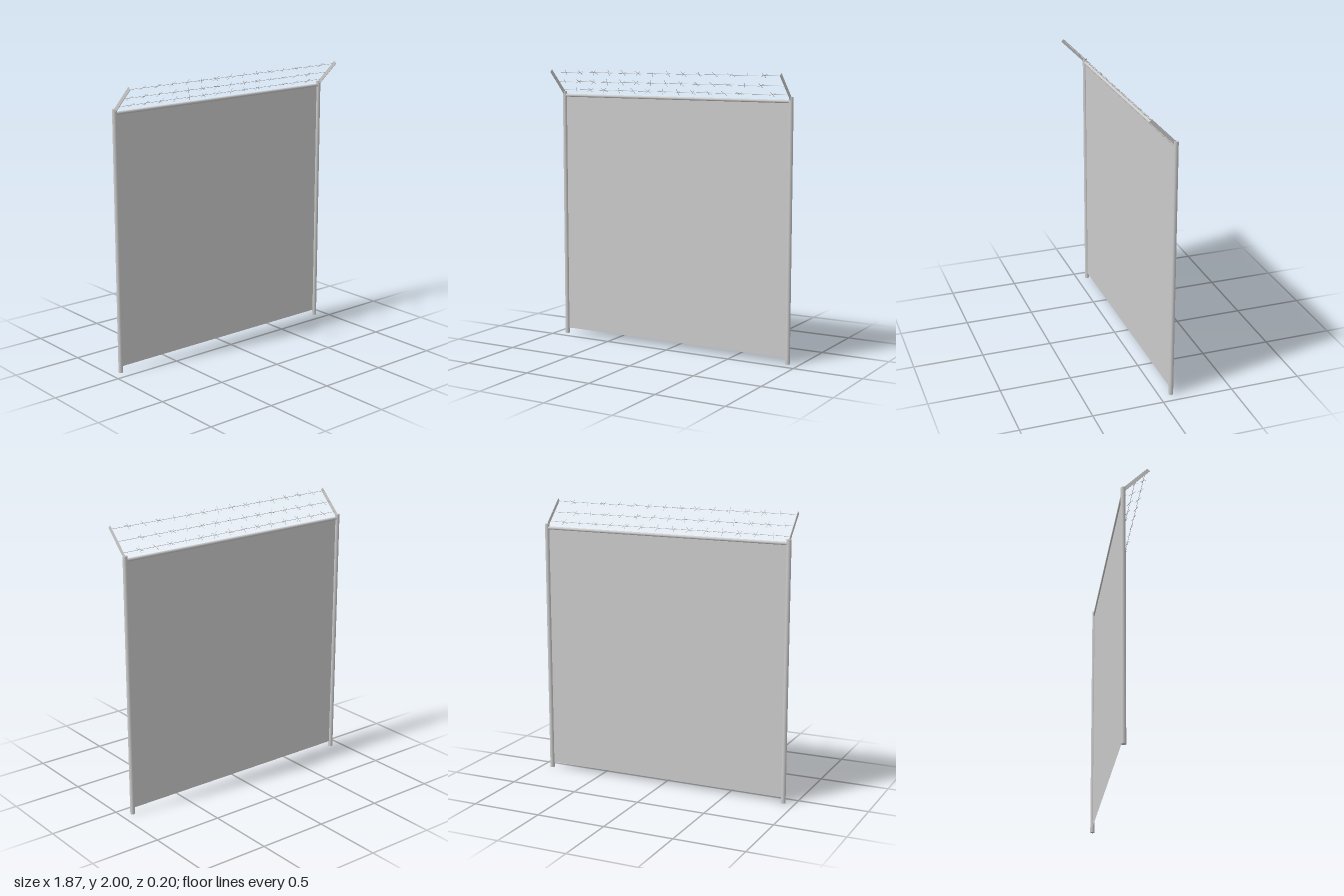
import * as THREE from 'three';

const POST_X = 0.918, POST_Z = -0.085;

export function createModel() {
  const group = new THREE.Group();
  const mat = new THREE.MeshStandardMaterial({ color: 0xcccccc });
  const sheetMat = new THREE.MeshStandardMaterial({ color: 0xcccccc, side: THREE.DoubleSide });

  const add = (name, geometry, x, y, z, material = mat, parent = group) => {
    const mesh = new THREE.Mesh(geometry, material);
    mesh.name = name;
    mesh.position.set(x, y, z);
    parent.add(mesh);
    return mesh;
  };

  // Upright posts and the angled flat arms on top of them
  const postGeo = new THREE.CylinderGeometry(0.0165, 0.0165, 1.835, 16);
  const armLow = new THREE.Vector2(POST_Z, 1.818), armHigh = new THREE.Vector2(0.088, 1.991);
  const armGeo = new THREE.BoxGeometry(0.004, 0.025, armLow.distanceTo(armHigh));
  for (const side of [-1, 1]) {
    const label = side > 0 ? 'left' : 'right';
    add(label + 'Post', postGeo, side * POST_X, 1.835 / 2, POST_Z);
    const arm = add(label + 'Arm', armGeo, side * POST_X,
      (armLow.y + armHigh.y) / 2, (armLow.x + armHigh.x) / 2);
    arm.rotation.x = -Math.PI / 4;
  }

  // Top rail and fence sheet
  const rail = add('topRail', new THREE.CylinderGeometry(0.011, 0.011, 2 * POST_X, 16), 0, 1.805, POST_Z);
  rail.rotation.z = Math.PI / 2;
  add('fencePanel', new THREE.PlaneGeometry(2 * POST_X, 1.765), 0, 0.04 + 1.765 / 2, POST_Z, sheetMat);

  // Three strands of barbed wire in the plane of the arms
  const wireGeo = new THREE.CylinderGeometry(0.0015, 0.0015, 2 * POST_X, 6);
  const spikeGeo = new THREE.CylinderGeometry(0.0015, 0.0015, 0.056, 5);
  const strands = [[1.85, -0.064, -0.8], [1.911, 0, -0.858], [1.98, 0.068, -0.8]];
  for (const [y, z, startX] of strands) {
    const strand = new THREE.Group();
    strand.name = 'barbedStrand';
    strand.position.set(0, y, z);
    strand.rotation.x = Math.PI / 4; // local y follows the arms
    group.add(strand);
    add('wire', wireGeo, 0, 0, 0, mat, strand).rotation.z = Math.PI / 2;

    // Each barb is two crossed spikes, turned a step further along the wire
    for (let i = 0; i < 14; i++) {
      const barb = new THREE.Group();
      barb.name = 'barb';
      barb.position.x = startX + i * 0.1222;
      barb.rotation.z = (i - 2) * Math.PI / 6;
      strand.add(barb);
      for (const s of [-1, 1]) {
        add('spike', spikeGeo, 0, 0, 0, mat, barb).rotation.set(s * 0.2, 0, s * 0.66);
      }
    }
  }
  return group;
}
